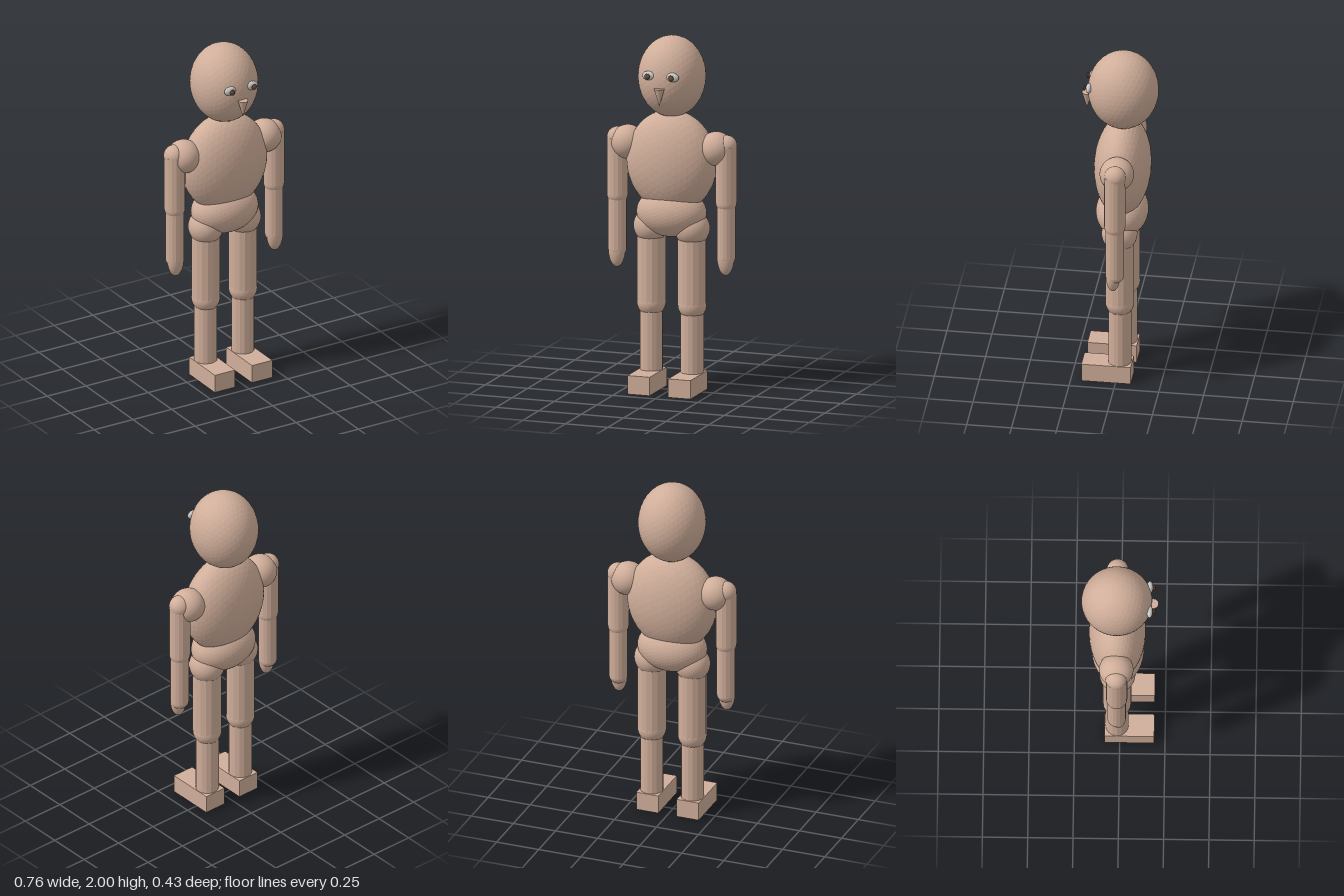
import * as THREE from 'three';

const skin = new THREE.MeshStandardMaterial({ color: 0xd0ae9a, flatShading: true });
const white = new THREE.MeshStandardMaterial({ color: 0xe0e0e0, flatShading: true });
const brown = new THREE.MeshStandardMaterial({ color: 0x6e4c3a, flatShading: true });

const Z = -0.015; // depth of the body axis

function add(parent, name, geometry, x, y, z, material = skin) {
  const mesh = new THREE.Mesh(geometry, material);
  mesh.name = name;
  mesh.position.set(x, y, z);
  parent.add(mesh);
  return mesh;
}

// Faceted ball stretched to three radii
function ball(parent, name, [rx, ry, rz], x, y, z = Z, material = skin, detail = 7) {
  const geometry = new THREE.IcosahedronGeometry(1, detail).scale(rx, ry, rz);
  return add(parent, name, geometry, x, y, z, material);
}

// Upright limb segment between two heights
function limb(parent, name, r, x, bottom, top, z = Z) {
  const geometry = new THREE.CylinderGeometry(r, r, top - bottom, 16);
  return add(parent, name, geometry, x, (top + bottom) / 2, z);
}

function buildHead() {
  const head = new THREE.Group();
  head.name = 'head';
  ball(head, 'skull', [0.187, 0.228, 0.196], 0, 1.772, -0.018);
  for (const s of [-1, 1]) {
    const side = s > 0 ? 'left' : 'right';
    ball(head, side + 'Eye', [0.036, 0.026, 0.017], s * 0.071, 1.806, 0.164, white, 4);
    ball(head, side + 'Pupil', [0.016, 0.016, 0.008], s * 0.07, 1.806, 0.189, brown, 4);
  }
  // Nose: a cone pointing down
  const cone = new THREE.ConeGeometry(0.029, 0.1, 24).rotateX(Math.PI);
  add(head, 'nose', cone, 0, 1.69, 0.184);
  return head;
}

function buildArm(s) {
  const arm = new THREE.Group();
  arm.name = s > 0 ? 'leftArm' : 'rightArm';
  const x = s * 0.32;
  ball(arm, 'shoulder', [0.095, 0.095, 0.095], s * 0.26, 1.38, -0.018);
  ball(arm, 'upperArmCap', [0.06, 0.06, 0.06], x, 1.4, -0.018);
  limb(arm, 'upperArm', 0.059, x, 1.08, 1.4);
  ball(arm, 'elbow', [0.058, 0.058, 0.058], x, 1.08);
  limb(arm, 'forearm', 0.052, x, 0.77, 1.08);
  ball(arm, 'wrist', [0.051, 0.045, 0.051], x, 0.77);
  ball(arm, 'hand', [0.048, 0.1, 0.04], x, 0.77, -0.005);
  return arm;
}

function buildLeg(s) {
  const leg = new THREE.Group();
  leg.name = s > 0 ? 'leftLeg' : 'rightLeg';
  const x = s * 0.12;
  ball(leg, 'hip', [0.099, 0.099, 0.099], x, 0.92, -0.013);
  limb(leg, 'thigh', 0.08, x, 0.485, 0.865);
  ball(leg, 'knee', [0.08, 0.08, 0.08], x, 0.485);
  limb(leg, 'shin', 0.064, x, 0.1, 0.485);
  add(leg, 'foot', new THREE.BoxGeometry(0.131, 0.105, 0.275), x, 0.0525, 0.053);
  return leg;
}

export function createModel() {
  const model = new THREE.Group();
  model.name = 'figure';
  model.add(buildHead());
  ball(model, 'torso', [0.26, 0.29, 0.157], 0, 1.29);
  ball(model, 'pelvis', [0.2, 0.138, 0.145], 0, 1.004, -0.012);
  for (const s of [-1, 1]) model.add(buildArm(s), buildLeg(s));
  return model;
}
